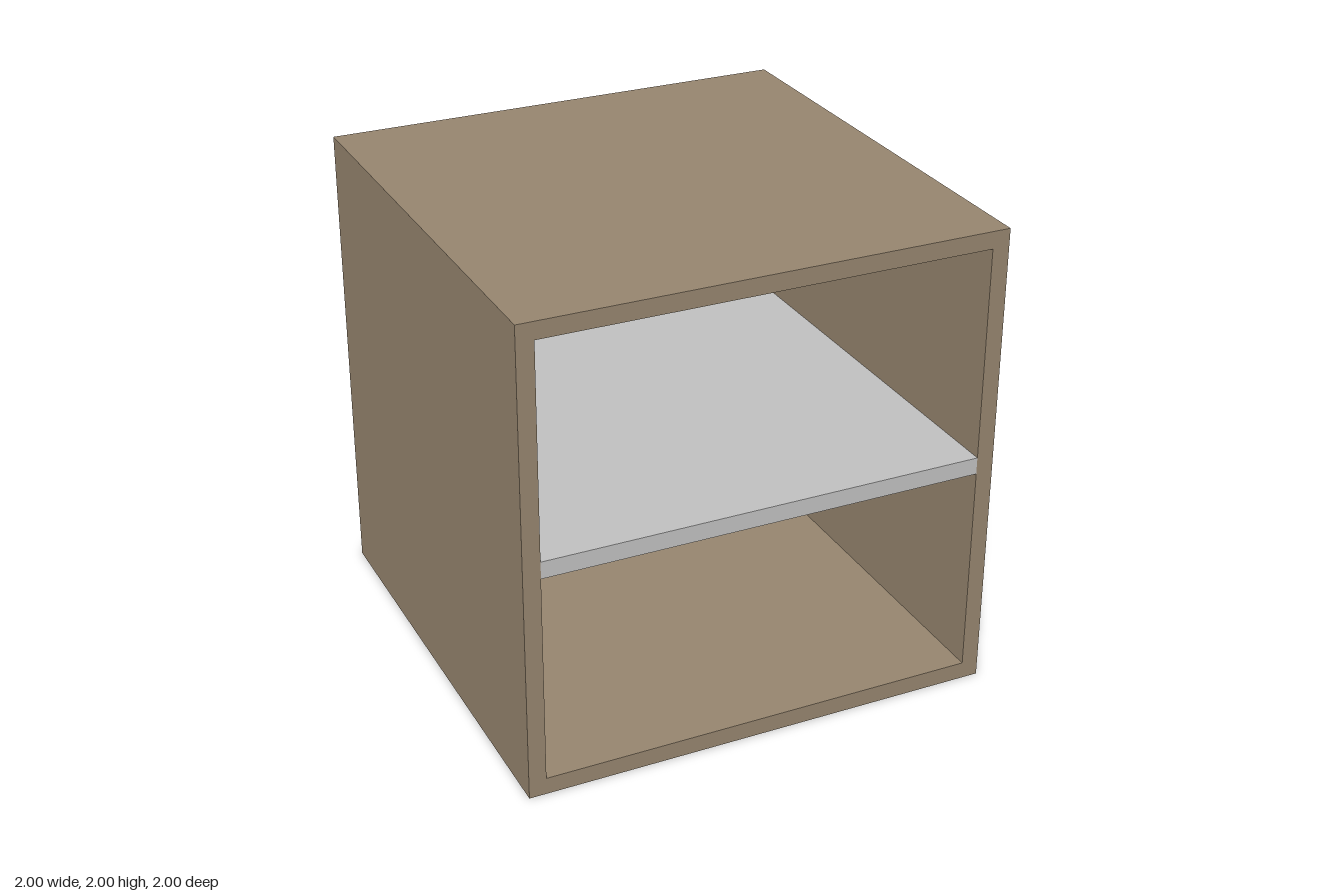
import * as THREE from 'three';

const T = 0.072;          // board thickness
const INNER = 1 - T;      // half width of the opening
const PANEL_Z = -1 + 2 * T; // rear face of the recessed back panel

function material(name, color) {
  const m = new THREE.MeshStandardMaterial({ color });
  m.name = name;
  return m;
}

function polygon(points) {
  return new THREE.Shape(points.map(([x, y]) => new THREE.Vector2(x, y)));
}

function rectPoints(h) {
  return [[-h, 1 - h], [h, 1 - h], [h, 1 + h], [-h, 1 + h]];
}

export function createModel() {
  const model = new THREE.Group();
  model.name = 'wallCabinet';
  const wood = material('brownWood', 0x96856f);
  const white = material('shelfGrey', 0xc0c0c0);
  const tan = material('tanWood', 0xc8a270);

  const add = (name, geometry, mat) => {
    const mesh = new THREE.Mesh(geometry, mat);
    mesh.name = name;
    model.add(mesh);
    return mesh;
  };

  // Carcass: open square tube of four boards
  const outline = polygon(rectPoints(1));
  outline.holes.push(polygon(rectPoints(INNER)));
  add('carcass', new THREE.ExtrudeGeometry(outline, { depth: 2, bevelEnabled: false }).translate(0, 0, -1), wood);

  // Back panel, set in to leave room for the hanging cleats
  add('backPanel', new THREE.BoxGeometry(2 * INNER, 2 * INNER, T), wood)
    .position.set(0, 1, PANEL_Z + T / 2);

  // Middle shelf, flush with the front
  const shelfDepth = 1 - (PANEL_Z + T);
  add('shelf', new THREE.BoxGeometry(2 * INNER, T, shelfDepth), white)
    .position.set(0, 1, 1 - shelfDepth / 2);

  // Hanging cleats: (z, y) profiles swept along x, with sloped mating faces
  const cleat = (name, profile) => add(name,
    new THREE.ExtrudeGeometry(polygon(profile), { depth: 1, bevelEnabled: false })
      .rotateY(-Math.PI / 2).translate(0.5, 0, 0), tan);
  cleat('lowerCleat', [[-1, 1.5], [PANEL_Z, 1.5], [PANEL_Z, 1.735], [-1, 1.663]]);
  cleat('upperCleat', [[-1, 1.677], [PANEL_Z, 1.749], [PANEL_Z, 2 - T], [-1, 2 - T]]);

  return model;
}
